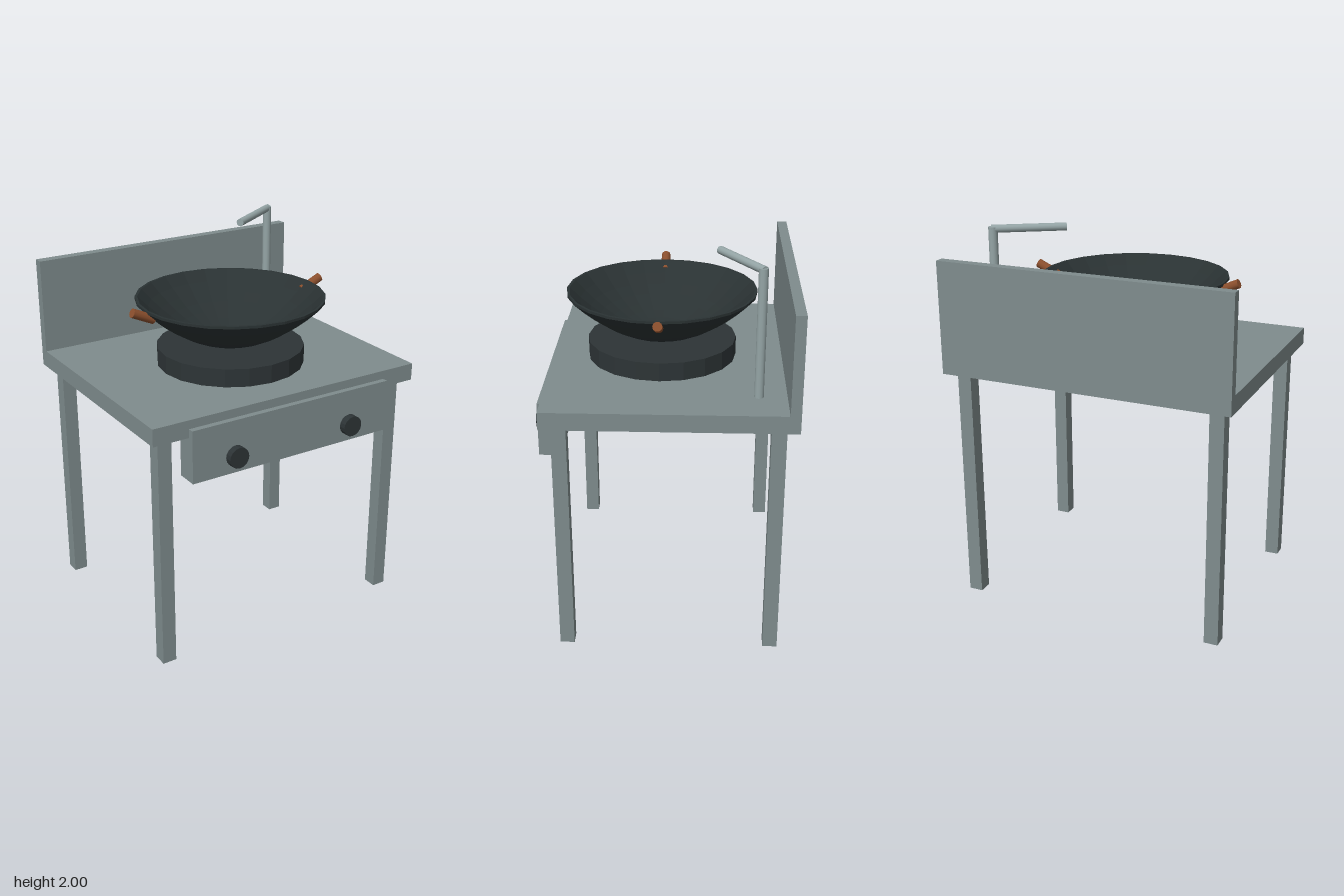
import * as THREE from 'three';

const mat = (name, color, flatShading = false) =>
  Object.assign(new THREE.MeshStandardMaterial({ color, flatShading }), { name });

export function createModel() {
  const model = new THREE.Group();
  model.name = 'wokStove';
  const steel = mat('brushedSteel', 0x7f8c8d);
  const chrome = mat('tapSteel', 0x95a5a6);
  const iron = mat('castIron', 0x2d3436, true);
  const wokIron = mat('wokIron', 0x2a3233, true);
  const wood = mat('handleWood', 0x8b4f2d);

  const add = (name, geometry, material, x = 0, y = 0, z = 0) => {
    const mesh = new THREE.Mesh(geometry, material);
    mesh.name = name;
    mesh.position.set(x, y, z);
    model.add(mesh);
    return mesh;
  };
  // box given by its lower and upper limits
  const box = (name, material, x0, x1, y0, y1, z0, z1) =>
    add(name, new THREE.BoxGeometry(x1 - x0, y1 - y0, z1 - z0), material,
      (x0 + x1) / 2, (y0 + y1) / 2, (z0 + z1) / 2);
  // round bar between two points
  const bar = (name, material, a, b, radius, sides) => {
    const from = new THREE.Vector3(...a), to = new THREE.Vector3(...b);
    const axis = to.clone().sub(from);
    const mesh = add(name, new THREE.CylinderGeometry(radius, radius, axis.length(), sides), material);
    mesh.position.copy(from).add(to).multiplyScalar(0.5);
    mesh.quaternion.setFromUnitVectors(new THREE.Vector3(0, 1, 0), axis.normalize());
    return mesh;
  };

  // bench
  box('worktop', steel, -0.77, 0.77, 1.255, 1.345, -0.65, 0.583);
  box('splashback', steel, -0.77, 0.77, 1.345, 1.84, -0.65, -0.598);
  box('controlPanel', steel, -0.578, 0.578, 1.025, 1.3, 0.5, 0.613);
  for (const x of [-0.682, 0.682])
    for (const z of [-0.555, 0.495])
      box('leg', steel, x - 0.037, x + 0.037, 0, 1.238, z - 0.037, z + 0.037);

  // control knobs
  for (const x of [-0.34, 0.34])
    bar('knob', iron, [x, 1.115, 0.605], [x, 1.115, 0.65], 0.054, 16);

  // burner and wok share one centre
  const cz = 0.027;
  add('burner', new THREE.CylinderGeometry(0.385, 0.385, 0.095, 20), iron, 0, 1.3925, cz);

  // bowl section: outer curve up, rim, inner curve back down
  const rim = 0.49, depth = 0.245, steps = 9, profile = [];
  for (let i = 0; i <= steps; i++) {
    const t = i / steps;
    profile.push(new THREE.Vector2(rim * t, depth * t * t));
  }
  profile.push(new THREE.Vector2(rim, 0.258), new THREE.Vector2(rim - 0.014, 0.258));
  for (let i = steps - 1; i >= 0; i--) {
    const t = i / steps;
    profile.push(new THREE.Vector2((rim - 0.014) * t, 0.012 + depth * t * t));
  }
  add('wok', new THREE.LatheGeometry(profile, 24), wokIron, 0, 1.44, cz);
  for (const s of [-1, 1])
    bar('wokHandle', wood, [s * 0.45, 1.65, cz], [s * 0.567, 1.703, cz], 0.024, 10);

  // water tap
  bar('tapPost', chrome, [0.553, 1.345, -0.46], [0.553, 1.99, -0.46], 0.023, 12);
  bar('tapSpout', chrome, [0.56, 1.98, -0.466], [0.246, 1.98, -0.264], 0.02, 12);

  return model;
}
